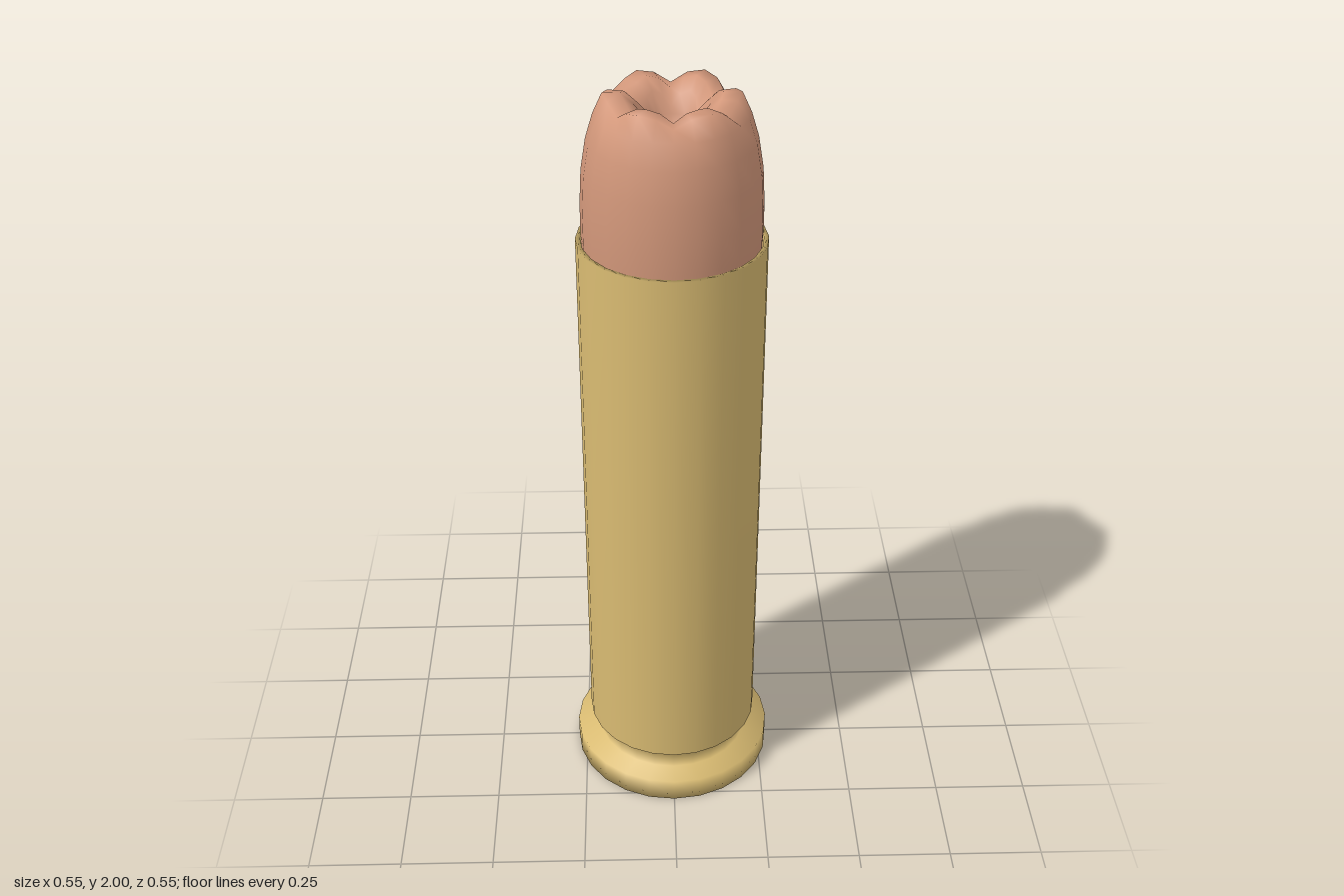
import * as THREE from 'three';

const SIDES = 24;

// Smooth surface of revolution from [radius, height] pairs, listed bottom to top
function turned(name, profile, material) {
  const points = profile.map(([r, y]) => new THREE.Vector2(r, y));
  const mesh = new THREE.Mesh(new THREE.LatheGeometry(points, SIDES), material);
  mesh.name = name;
  return mesh;
}

export function createModel() {
  const brass = new THREE.MeshStandardMaterial({ name: 'brass', color: 0xd9bb72 });
  const copper = new THREE.MeshStandardMaterial({ name: 'copper', color: 0xd2977a });
  const group = new THREE.Group();
  group.name = 'cartridge';

  // Rimmed base, extractor groove, straight wall and thin open mouth
  group.add(turned('case', [
    [0, 0], [0.275, 0], [0.275, 0.065], [0.211, 0.065], [0.211, 0.11],
    [0.236, 0.132], [0.236, 1.63], [0.224, 1.63], [0.222, 1.56],
  ], brass));

  // Hollow-point bullet
  const bullet = turned('bullet', [
    [0.218, 1.56], [0.222, 1.64], [0.222, 1.72], [0.217, 1.81], [0.204, 1.89],
    [0.184, 1.95], [0.155, 1.992], [0.115, 1.992], [0.08, 1.965],
    [0.066, 1.92], [0.045, 1.88], [0, 1.87],
  ], copper);

  // Six folds: ridges run outward, valleys between them dip and pinch the hole
  const pos = bullet.geometry.attributes.position;
  for (let i = 0; i < pos.count; i++) {
    const x = pos.getX(i), y = pos.getY(i), z = pos.getZ(i);
    const r = Math.hypot(x, z);
    if (y < 1.94 || r < 0.07) continue;
    const fold = Math.cos(6 * Math.atan2(z, x));
    const scale = 1 + fold * (r < 0.1 ? 0.13 : r < 0.17 ? 0.05 : 0.01);
    const lift = r < 0.17 ? (fold > 0 ? 0.008 : 0.024) * fold : 0;
    pos.setXYZ(i, x * scale, y + lift, z * scale);
  }
  bullet.geometry.computeVertexNormals();

  // Match normals across the seam where the lathe closes
  const normal = bullet.geometry.attributes.normal;
  const row = pos.count / (SIDES + 1);
  for (let j = 0; j < row; j++) {
    const a = new THREE.Vector3().fromBufferAttribute(normal, j);
    const b = new THREE.Vector3().fromBufferAttribute(normal, SIDES * row + j);
    a.add(b).normalize();
    normal.setXYZ(j, a.x, a.y, a.z);
    normal.setXYZ(SIDES * row + j, a.x, a.y, a.z);
  }
  // The hole's floor centre faces straight up
  for (let i = row - 1; i < pos.count; i += row) normal.setXYZ(i, 0, 1, 0);

  group.add(bullet);
  return group;
}
